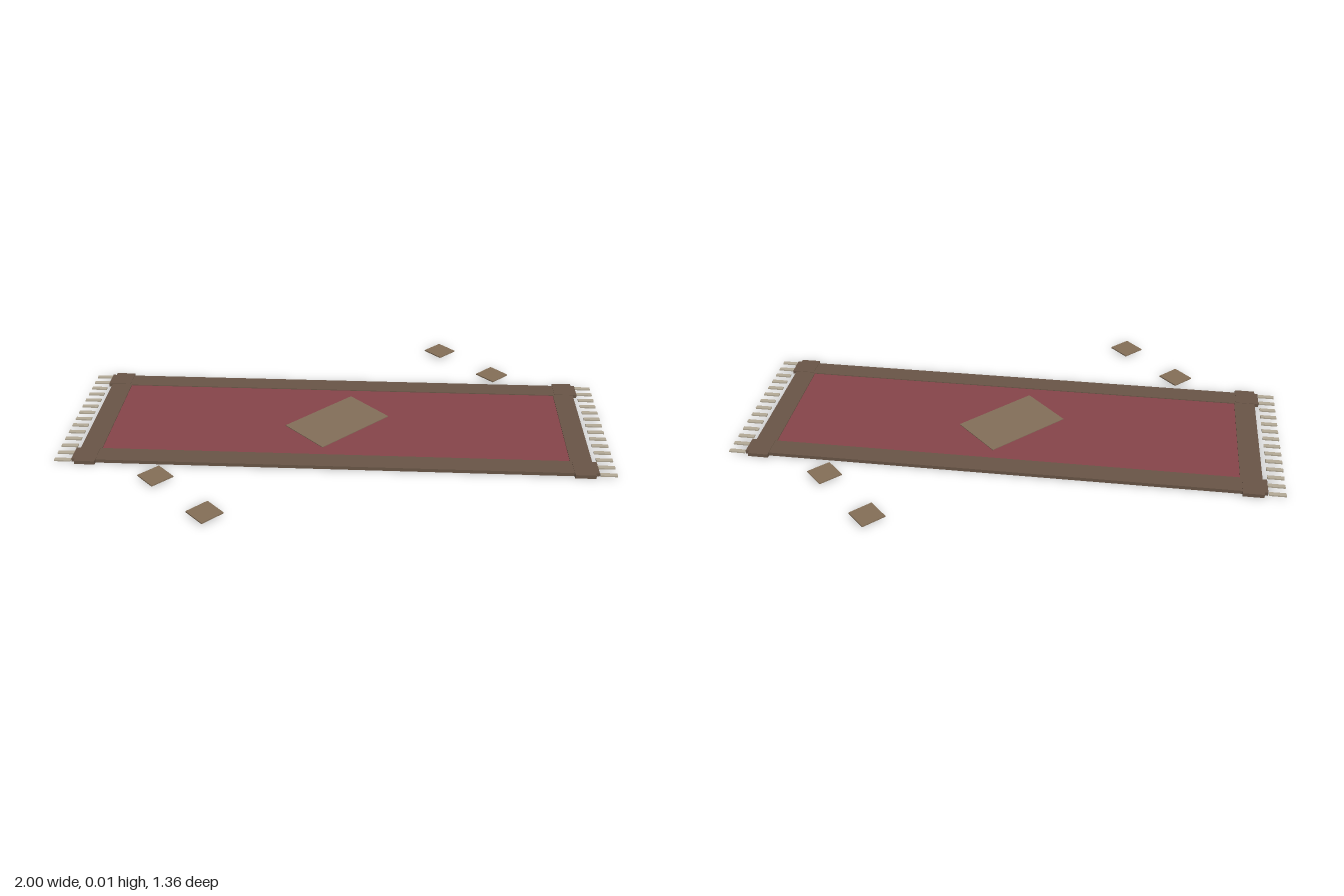
import * as THREE from 'three';

const material = (color) => new THREE.MeshStandardMaterial({ color });

export function createModel() {
  const rug = new THREE.Group();
  rug.name = 'rug';
  const red = material(0x87454b);
  const brown = material(0x6a5647);
  const tan = material(0x857058);
  const olive = material(0x84705a);
  const cream = material(0xb5ab98);

  // Flat slab spanning y0..y1, centred on x, z and turned about y
  function slab(name, mat, w, d, y0, y1, x = 0, z = 0, turn = 0) {
    const mesh = new THREE.Mesh(new THREE.BoxGeometry(w, y1 - y0, d), mat);
    mesh.name = name;
    mesh.position.set(x, (y0 + y1) / 2, z);
    mesh.rotation.y = turn;
    rug.add(mesh);
  }

  // Woven field and centre medallion
  slab('field', red, 1.69, 0.484, 0, 0.01);
  slab('medallion', olive, 0.335, 0.21, 0.008, 0.0125, 0, 0, Math.PI / 4);

  // Raised border: long strips and end strips
  for (const s of [-1, 1]) {
    slab('longBorder', brown, 1.844, 0.078, 0, 0.013, 0, s * 0.281);
    slab('endBorder', brown, 0.078, 0.484, 0, 0.013, s * 0.883, 0);
  }

  // Stepped corner pads
  for (const sx of [-1, 1]) {
    for (const sz of [-1, 1]) {
      slab('cornerPad', brown, 0.074, 0.09, 0.001, 0.0145, sx * 0.887, sz * 0.29);
      slab('cornerPadStep', brown, 0.087, 0.075, 0.001, 0.0143, sx * 0.8935, sz * 0.2825);
    }
  }

  // Fringe along both ends
  const strands = 14;
  for (const s of [-1, 1]) {
    for (let i = 0; i < strands; i++) {
      const z = -0.315 + (0.63 * i) / (strands - 1);
      slab('fringeStrand', cream, 0.06, 0.017, 0.003, 0.008, s * 0.97, z);
    }
  }

  // Loose diamond tiles on opposite sides
  for (const s of [-1, 1]) {
    for (const [x, z] of [[0.408, -0.617], [0.615, -0.41]]) {
      slab('diamondTile', tan, 0.09, 0.09, 0.008, 0.0125, s * x, s * z, Math.PI / 4);
    }
  }
  return rug;
}
